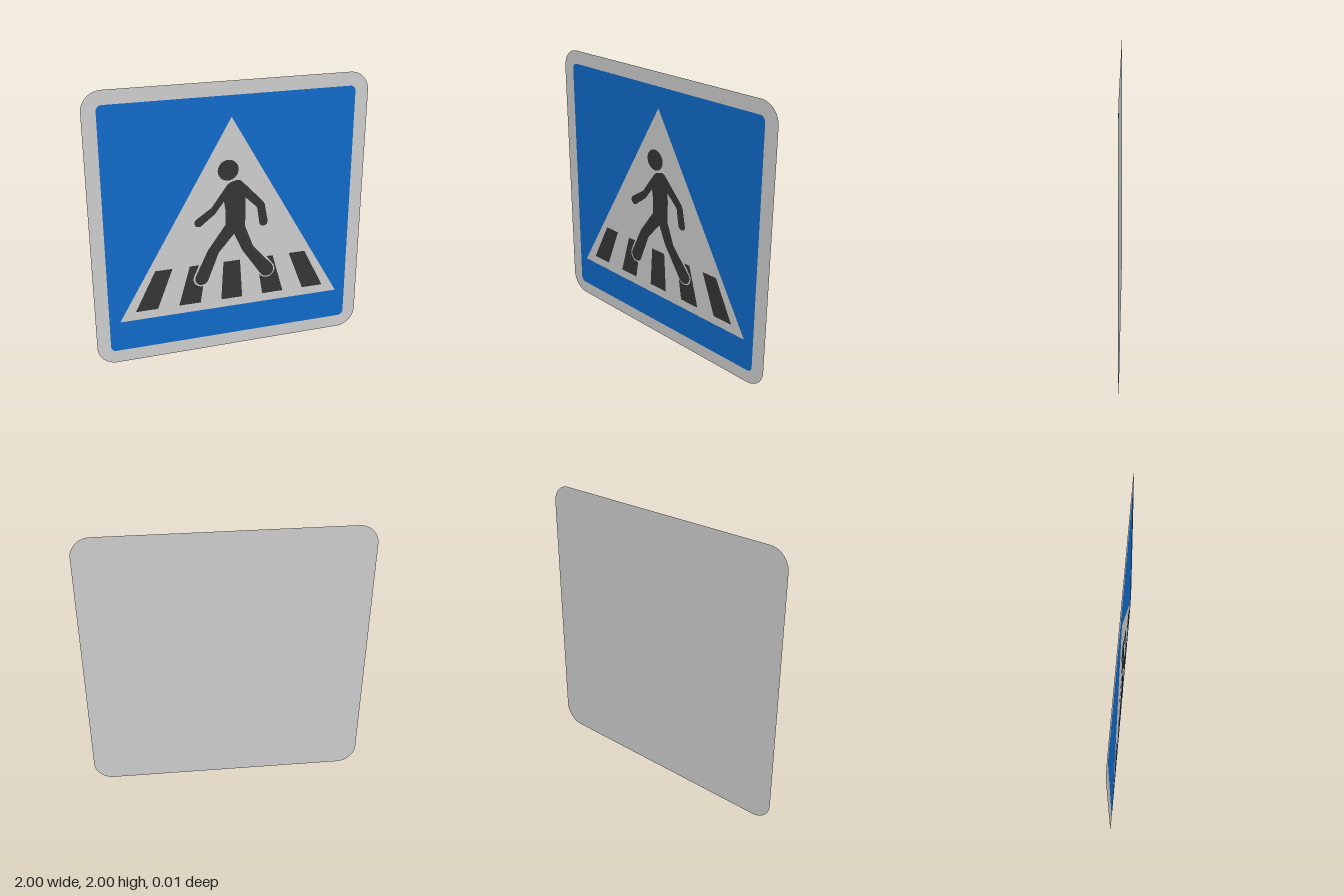
import * as THREE from 'three';

const material = (color) => new THREE.MeshStandardMaterial({ color, side: THREE.DoubleSide });

// Square centred on (0, 1) with rounded corners
function roundedSquare(h, r) {
  const s = new THREE.Shape();
  s.absarc(h - r, 1 + h - r, r, 0, Math.PI / 2);
  s.absarc(-h + r, 1 + h - r, r, Math.PI / 2, Math.PI);
  s.absarc(-h + r, 1 - h + r, r, Math.PI, Math.PI * 1.5);
  s.absarc(h - r, 1 - h + r, r, Math.PI * 1.5, Math.PI * 2);
  s.closePath();
  return s;
}

const polygon = (points) => new THREE.Shape(points.map(([x, y]) => new THREE.Vector2(x, y)));

const disc = (x, y, r) => new THREE.Shape().absarc(x, y, r, 0, Math.PI * 2);

// Strip with round ends between two points
function capsule(x1, y1, x2, y2, r) {
  const a = Math.atan2(y2 - y1, x2 - x1);
  const s = new THREE.Shape();
  s.absarc(x2, y2, r, a - Math.PI / 2, a + Math.PI / 2);
  s.absarc(x1, y1, r, a + Math.PI / 2, a + Math.PI * 1.5);
  s.closePath();
  return s;
}

export function createModel() {
  const model = new THREE.Group();
  const grey = material(0xcccccc);
  const blue = material(0x0f69c7);
  const dark = material(0x343434);

  const layer = (name, shapes, mat, z, parent = model) => {
    const mesh = new THREE.Mesh(new THREE.ShapeGeometry(shapes, 16), mat);
    mesh.name = name;
    mesh.position.z = z;
    parent.add(mesh);
  };

  // Sign plate and its printed fields, stacked in thin layers
  layer('plate', roundedSquare(1, 0.14), grey, -0.006);
  layer('blueField', roundedSquare(0.903, 0.04), blue, -0.003);
  layer('triangle', polygon([[-0.827, 0.325], [0.827, 0.325], [0, 1.755]]), grey, 0);

  // Crossing stripes, fanning out towards the bottom
  const stripes = [-2, -1, 0, 1, 2].map((i) => {
    const top = i * 0.25, bottom = i * 0.316;
    return polygon([[bottom - 0.08, 0.39], [bottom + 0.08, 0.39], [top + 0.062, 0.69], [top - 0.062, 0.69]]);
  });
  layer('crossingStripes', stripes, dark, 0.002);

  // Pale outline where the legs pass over the stripes
  layer('legOutlines', [
    capsule(-0.225, 0.583, -0.176, 0.69, 0.062),
    capsule(0.265, 0.585, 0.187, 0.69, 0.062),
  ], grey, 0.004);

  // Walking figure
  const figure = new THREE.Group();
  figure.name = 'walkingFigure';
  model.add(figure);
  layer('head', disc(-0.027, 1.382, 0.075), dark, 0.006, figure);
  layer('body', polygon([
    // shoulders and the arm on the left side
    [-0.032, 1.278], [-0.01, 1.293], [0.035, 1.305], [0.058, 1.302], [0.075, 1.289],
    [0.232, 1.123], [0.243, 1.102], [0.267, 0.975], [0.205, 0.963], [0.186, 1.085], [0.098, 1.17],
    // torso side and leading leg
    [0.1, 1.1], [0.098, 0.95], [0.158, 0.79], [0.309, 0.616], [0.221, 0.555], [0.075, 0.77], [0.016, 0.903],
    // trailing leg and torso side
    [-0.098, 0.77], [-0.179, 0.562], [-0.271, 0.604], [-0.176, 0.802], [-0.046, 0.98],
    [-0.046, 1.08], [-0.058, 1.155],
    // arm on the right side
    [-0.125, 1.068], [-0.224, 0.992], [-0.258, 1.045], [-0.15, 1.117],
  ]), dark, 0.006, figure);
  layer('hands', [disc(0.236, 0.969, 0.032), disc(-0.241, 1.018, 0.032)], dark, 0.006, figure);
  layer('feet', [disc(-0.225, 0.583, 0.05), disc(0.265, 0.585, 0.053)], dark, 0.006, figure);

  return model;
}
